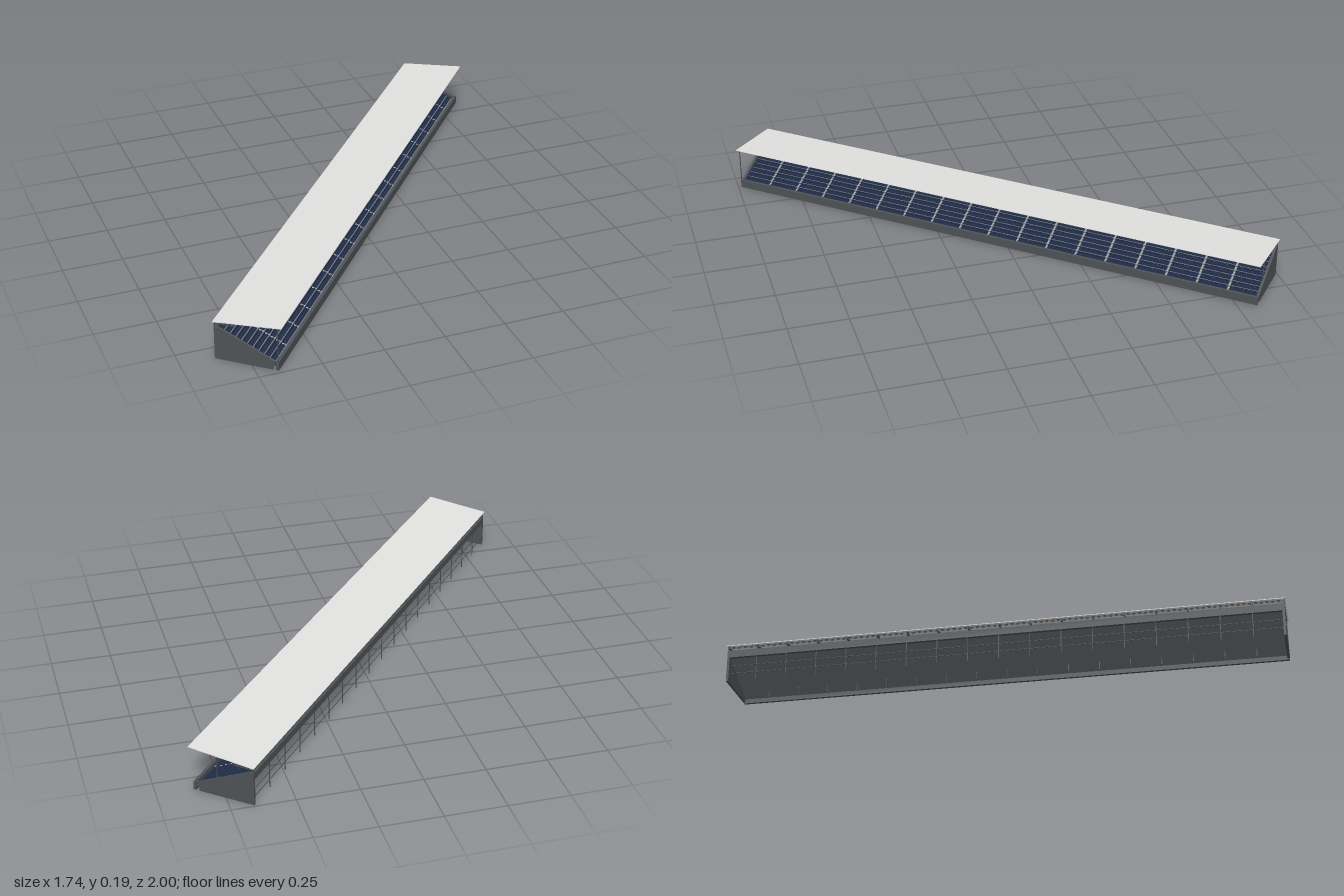
import * as THREE from 'three';
import { mergeGeometries } from 'three/addons/utils/BufferGeometryUtils.js';

const mat = (name, color) => {
  const m = new THREE.MeshStandardMaterial({ color });
  m.name = name;
  return m;
};

export function createModel() {
  const concrete = mat('dark concrete', 0x4f5357);
  const slab = mat('terrace concrete', 0x75787a);
  const roofing = mat('pale roofing', 0xe3e3e1);
  const seatBlue = mat('navy seat', 0x222e4b);
  const steel = mat('dark steel', 0x4a4d50);
  const stair = mat('stair grey', 0xa9abac);

  const HALF = 1.185, BAYS = 18, ROWS = 10;
  const PITCH = (HALF * 2) / BAYS;
  const Z0 = 0.105, Y0 = 0.026;       // front foot of the seating
  const GOING = 0.0225, RISE = 0.0105; // one row

  // The stand is built along x, then turned on its plot
  const stand = new THREE.Group();
  stand.name = 'grandstand';
  stand.rotation.y = THREE.MathUtils.degToRad(50);

  const add = (name, geo, material) => {
    const m = new THREE.Mesh(geo, material);
    m.name = name;
    stand.add(m);
    return m;
  };
  const box = (w, h, d, x, y, z) => new THREE.BoxGeometry(w, h, d).translate(x, y, z);
  // Profile in (z, y), extruded from x0 to x1
  const extrudeX = (points, x0, x1) =>
    new THREE.ExtrudeGeometry(new THREE.Shape(points.map(p => new THREE.Vector2(...p))),
      { depth: x1 - x0, bevelEnabled: false }).rotateY(-Math.PI / 2).translate(x1, 0, 0);
  // Thin square bar between two (y, z) points at a given x
  const bar = (x, ya, za, yb, zb, t) => {
    const len = Math.hypot(yb - ya, zb - za);
    return new THREE.BoxGeometry(t, len, t).rotateX(Math.atan2(zb - za, yb - ya))
      .translate(x, (ya + yb) / 2, (za + zb) / 2);
  };

  // Stepped terrace with a sloping underside
  const steps = [[Z0, Y0 - 0.01]];
  for (let r = 0; r < ROWS; r++) {
    steps.push([Z0 - r * GOING, Y0 + r * RISE], [Z0 - (r + 1) * GOING, Y0 + r * RISE]);
  }
  steps.push([Z0 - ROWS * GOING, Y0 + (ROWS - 1) * RISE - 0.01]);
  add('terrace', extrudeX(steps, -HALF + 0.008, HALF - 0.008), slab);

  // Front parapet and the band along the top at the back
  add('frontWall', box(HALF * 2, 0.036, 0.012, 0, 0.018, 0.117), concrete);
  add('backWall', box(HALF * 2, 0.03, 0.014, 0, 0.125, -0.127), concrete);

  // Sloped end walls, notched at the front foot
  const wall = [[-0.134, 0], [0.098, 0], [0.098, 0.018], [0.108, 0.018], [0.108, 0.036],
    [-0.116, 0.14], [-0.134, 0.14]];
  for (const x of [-HALF, HALF - 0.01]) add('endWall', extrudeX(wall, x, x + 0.01), concrete);

  // Individual seats, leaving a stair gap at every bay line
  const seats = [], treads = [];
  const perBay = 11, seatStep = (PITCH - 0.01) / perBay;
  for (let r = 0; r < ROWS; r++) {
    const y = Y0 + r * RISE, z = Z0 - r * GOING;
    for (let b = 0; b < BAYS; b++) {
      const left = -HALF + b * PITCH + 0.005;
      for (let s = 0; s < perBay; s++) {
        const x = left + (s + 0.5) * seatStep;
        seats.push(box(seatStep * 0.88, 0.004, 0.014, x, y + 0.004, z - 0.011));
        seats.push(box(seatStep * 0.88, 0.0115, 0.003, x, y + 0.0075, z - 0.0195));
      }
      if (b > 0) {
        treads.push(box(0.008, 0.005, 0.011, left - 0.005, y + 0.0025, z - 0.017));
        treads.push(box(0.008, 0.001, 0.011, left - 0.005, y + 0.0005, z - 0.006));
      }
    }
  }
  add('seats', mergeGeometries(seats), seatBlue);
  add('stairs', mergeGeometries(treads), stair);

  // Steel frames: back posts, short props, cantilever arms and rafters
  const roofY = z => 0.1745 + z * 0.091;
  const frames = [];
  for (let i = 0; i <= BAYS; i++) {
    const x = THREE.MathUtils.clamp(-HALF + i * PITCH, -HALF + 0.003, HALF - 0.003);
    frames.push(
      bar(x, 0, -0.132, roofY(-0.132), -0.132, 0.003),
      bar(x, 0, 0.055, 0.036, 0.055, 0.003),
      bar(x, 0.154, -0.132, 0.157, -0.05, 0.004),
      bar(x, 0.157, -0.05, roofY(-0.05), -0.05, 0.003),
      bar(x, 0.138, -0.115, roofY(-0.115), -0.115, 0.003),
      bar(x, roofY(-0.13) - 0.002, -0.13, roofY(0.13) - 0.002, 0.13, 0.003));
  }
  // Long rails across the open back
  for (const y of [0.035, 0.07, 0.152]) frames.push(box(HALF * 2, 0.002, 0.002, 0, y, -0.132));
  // Slender end props under the roof
  frames.push(bar(HALF - 0.01, 0.05, 0.025, roofY(0.025), 0.025, 0.003));
  frames.push(bar(-HALF + 0.002, 0.03, 0.12, roofY(0.12), 0.12, 0.003));
  add('steelFrames', mergeGeometries(frames), steel);

  // Purlins under the roof
  const purlins = [];
  for (let i = 0; i < 7; i++) {
    const z = -0.12 + i * 0.04;
    purlins.push(box(HALF * 2, 0.002, 0.003, 0, roofY(z) - 0.001, z));
  }
  add('purlins', mergeGeometries(purlins), steel);

  // Roof sheet rising toward the front
  const roof = add('roof', new THREE.BoxGeometry(2.38, 0.003, 0.276), roofing);
  roof.position.y = 0.1765;
  roof.rotation.x = -0.091;

  const model = new THREE.Group();
  model.name = 'model';
  model.add(stand);
  return model;
}
